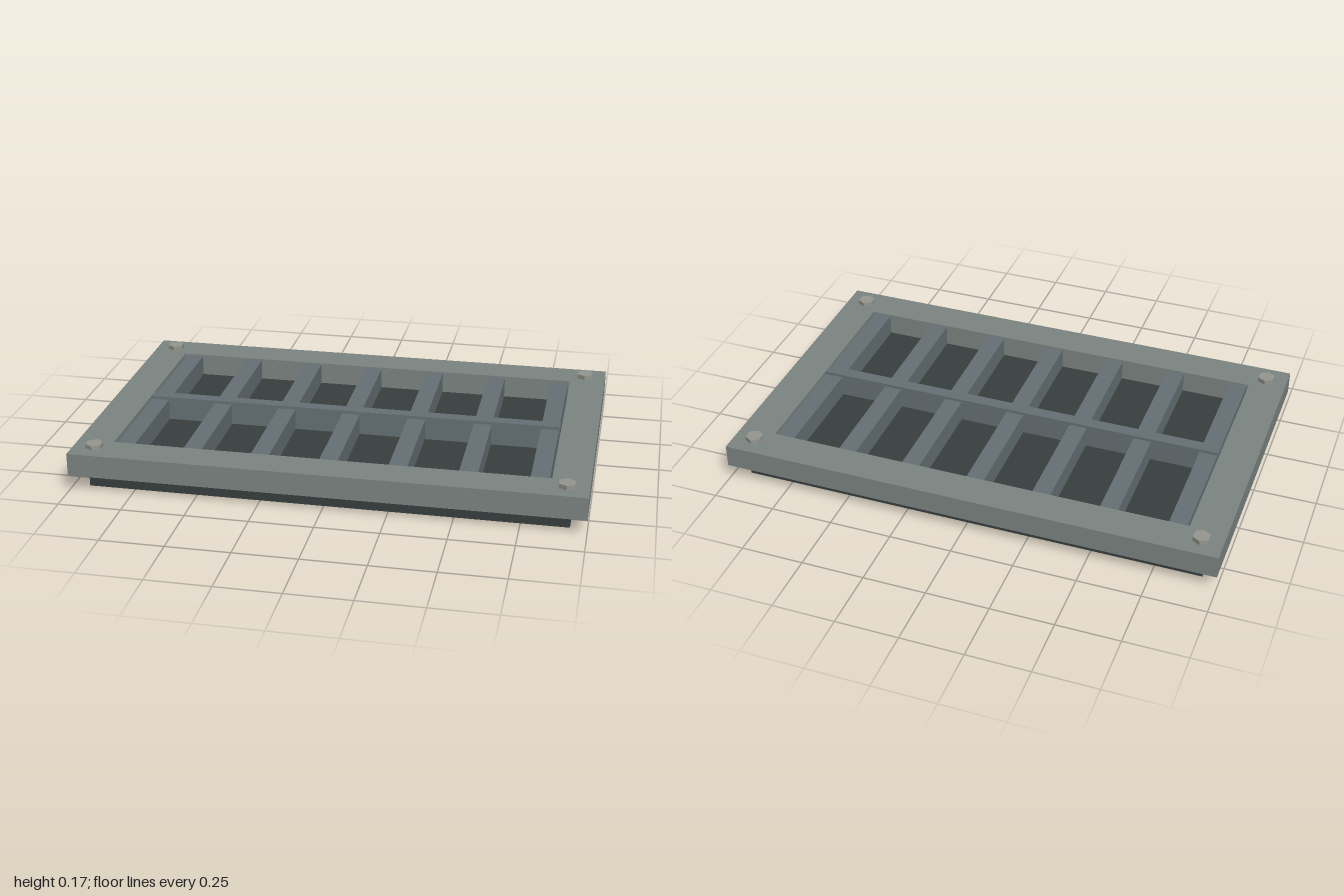
import * as THREE from 'three';

export function createModel() {
  const group = new THREE.Group();
  const mat = (color) => new THREE.MeshStandardMaterial({ color, flatShading: true });
  const frameMat = mat(0x7d8582), barMat = mat(0x667175), baseMat = mat(0x383e3e), boltMat = mat(0x96978f);

  const add = (name, geometry, material, x, y, z) => {
    const mesh = new THREE.Mesh(geometry, material);
    mesh.name = name;
    mesh.position.set(x, y, z);
    group.add(mesh);
  };
  // Box spanning y0..y1, centred on x and z
  const box = (name, material, w, d, y0, y1, x = 0, z = 0) =>
    add(name, new THREE.BoxGeometry(w, y1 - y0, d), material, x, (y0 + y1) / 2, z);
  const rect = (path, x, z) =>
    path.moveTo(-x, -z).lineTo(x, -z).lineTo(x, z).lineTo(-x, z).closePath();

  const baseTop = 0.065, frameTop = 0.157;

  // Dark base tray
  box('base', baseMat, 1.87, 1.14, 0, baseTop);

  // Rectangular frame with one large opening
  const outline = rect(new THREE.Shape(), 1, 0.63);
  outline.holes.push(rect(new THREE.Path(), 0.855, 0.487));
  const frame = new THREE.ExtrudeGeometry(outline, { depth: frameTop - baseTop, bevelEnabled: false });
  frame.rotateX(-Math.PI / 2);
  add('frame', frame, frameMat, 0, baseTop, 0);

  // Grate: seven slats and a slightly raised cross bar
  for (let i = -3; i <= 3; i++) box('slat', barMat, 0.072, 0.974, baseTop, 0.151, i * 0.27);
  box('crossBar', barMat, 1.7, 0.05, baseTop, 0.163);

  // Hexagonal corner bolts
  const bolt = new THREE.CylinderGeometry(0.035, 0.035, 0.018, 6);
  for (const x of [-0.915, 0.915])
    for (const z of [-0.547, 0.547]) add('bolt', bolt, boltMat, x, frameTop + 0.009, z);

  return group;
}
